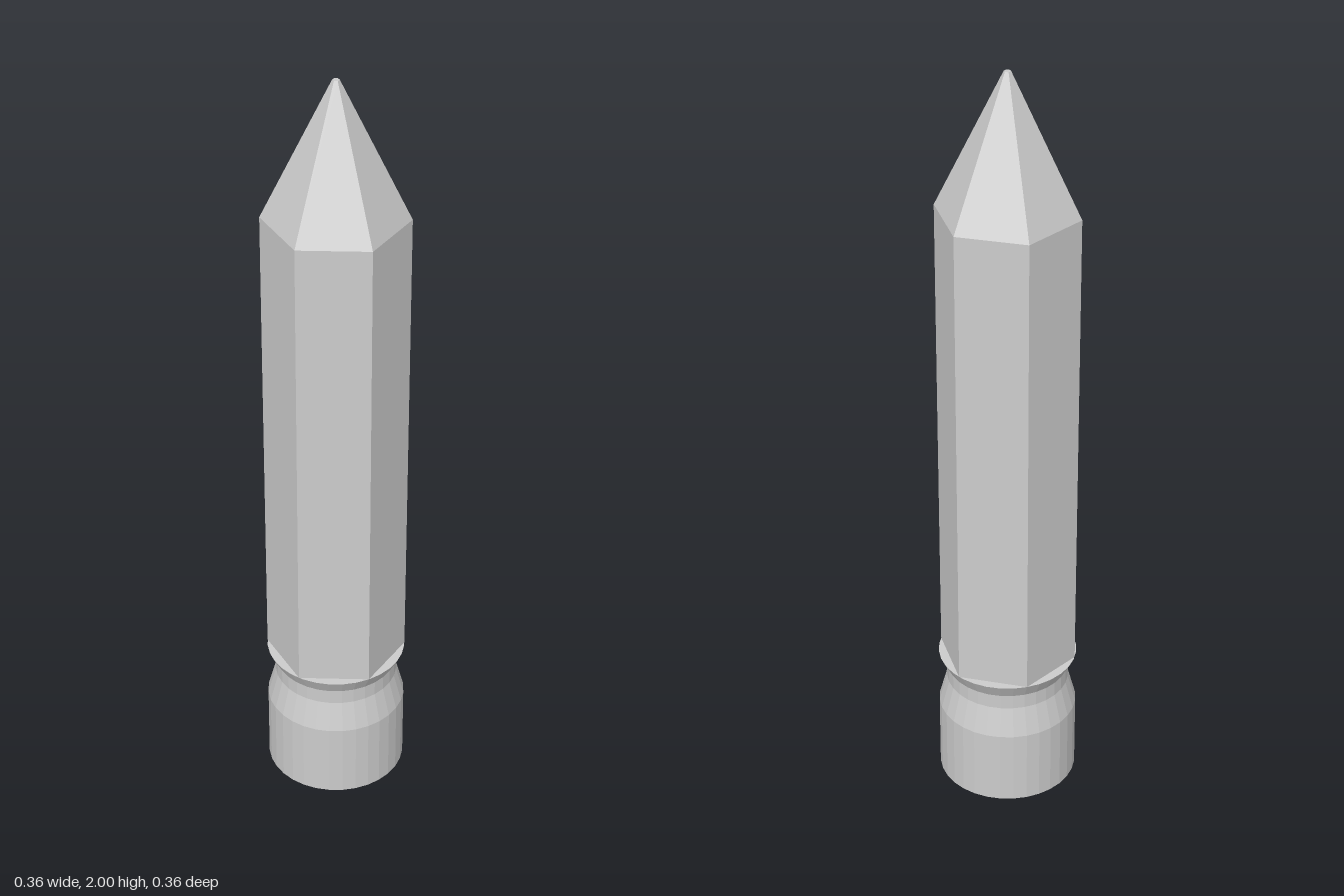
import * as THREE from 'three';

const SIDES = 6;
const RADIUS = 0.182;
const BASE_TOP = 0.365;
const SHOULDER = 1.64;
const TIP = 2;

export function createModel() {
  const group = new THREE.Group();
  const material = new THREE.MeshStandardMaterial({ color: 0xcccccc, flatShading: true });

  const add = (name, geometry, y = 0) => {
    const mesh = new THREE.Mesh(geometry, material);
    mesh.name = name;
    mesh.position.y = y;
    group.add(mesh);
  };

  // Round ferrule: straight foot, pinched neck and flared, capped rim
  const profile = [
    [0, 0], [RADIUS, 0], [RADIUS, 0.206], [0.161, 0.285],
    [0.161, 0.325], [RADIUS, BASE_TOP], [0, BASE_TOP],
  ].map(([r, y]) => new THREE.Vector2(r, y));
  add('ferrule', new THREE.LatheGeometry(profile, 32));

  // Hexagonal shaft with corners facing front and back
  const shaftHeight = SHOULDER - BASE_TOP;
  add('shaft', new THREE.CylinderGeometry(RADIUS, RADIUS, shaftHeight, SIDES, 1, true),
    BASE_TOP + shaftHeight / 2);

  // Six-sided point with a tiny blunt end
  const pointHeight = TIP - SHOULDER;
  add('point', new THREE.CylinderGeometry(0.009, RADIUS, pointHeight, SIDES),
    SHOULDER + pointHeight / 2);

  return group;
}
